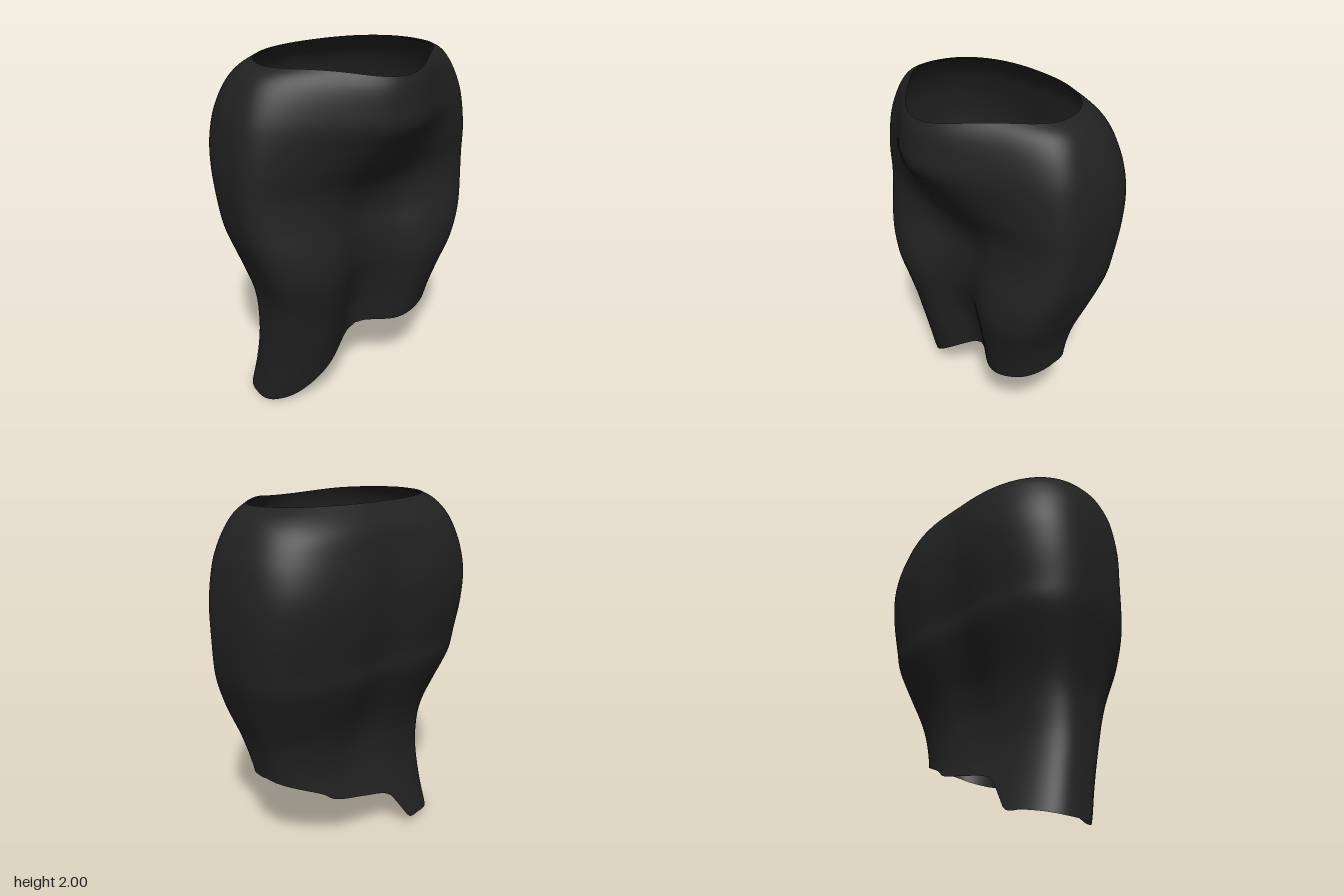
import * as THREE from 'three';

// Smooth lookup through [key, value] pairs sorted by key
function curve(pts) {
  const n = pts.length;
  const slope = (i) => {
    const a = pts[Math.max(i - 1, 0)], b = pts[Math.min(i + 1, n - 1)];
    return (b[1] - a[1]) / (b[0] - a[0]);
  };
  return (k) => {
    if (k <= pts[0][0]) return pts[0][1];
    if (k >= pts[n - 1][0]) return pts[n - 1][1];
    let i = 0;
    while (k > pts[i + 1][0]) i++;
    const h = pts[i + 1][0] - pts[i][0], t = (k - pts[i][0]) / h, t2 = t * t, t3 = t2 * t;
    return (2 * t3 - 3 * t2 + 1) * pts[i][1] + (t3 - 2 * t2 + t) * h * slope(i)
      + (3 * t2 - 2 * t3) * pts[i + 1][1] + (t3 - t2) * h * slope(i + 1);
  };
}

// Half widths by height, on the left (+x) and right (-x)
const upper = [[0.9, 0.65], [1.1, 0.715], [1.3, 0.742], [1.5, 0.747], [1.7, 0.725], [1.8, 0.695], [1.9, 0.645], [1.96, 0.59], [2, 0.51]];
const leftWidth = curve([[0.3, 0.51], [0.5, 0.53], [0.7, 0.575], ...upper]);
const rightWidth = curve([[0, 0.595], [0.2, 0.578], [0.5, 0.573], [0.7, 0.588], ...upper]);

// Depths by height: thighs in front, seat behind, and the middle line of the sides
const frontDepth = curve([[0, 0.11], [0.06, 0.14], [0.4, 0.23], [0.55, 0.26], [0.7, 0.295], [0.85, 0.325], [1, 0.32],
  [1.2, 0.275], [1.35, 0.262], [1.5, 0.28], [1.7, 0.285], [1.9, 0.27], [2, 0.25]]);
const backDepth = curve([[0, 0.37], [0.25, 0.3], [0.45, 0.262], [0.6, 0.265], [0.7, 0.282], [0.8, 0.312], [0.9, 0.355],
  [1, 0.4], [1.1, 0.438], [1.2, 0.45], [1.4, 0.487], [1.6, 0.502], [1.8, 0.472], [1.9, 0.437], [2, 0.35]]);
const midDepth = curve([[0, -0.1], [0.5, 0], [2, 0]]);

// Belly bulge above, groove between the legs below
const bulge = curve([[0, -0.1], [0.4, -0.16], [0.85, -0.15], [1.1, -0.12], [1.2, -0.09], [1.3, -0.04], [1.4, 0.025],
  [1.5, 0.085], [1.6, 0.15], [1.7, 0.21], [1.8, 0.215], [1.9, 0.21], [2, 0.185]]);
const bulgeWidth = curve([[0, 0.18], [0.7, 0.2], [1.2, 0.26], [1.5, 0.35], [2, 0.36]]);
const seatGroove = curve([[0.3, 0], [0.45, 0.01], [0.7, 0.035], [1.6, 0.03], [1.9, 0.01], [2, 0]]);

// Squareness of the cross-section
const frontPower = curve([[0, 2.6], [0.4, 2.7], [0.85, 3.8], [1.2, 3.7], [1.5, 3.2], [1.8, 2.6], [2, 2]]);
const backPower = curve([[0, 2.8], [1.5, 3.2], [1.8, 2.8], [2, 2.3]]);

// Slanted hem height by x
const frontHem = curve([[-0.59, 0], [-0.53, 0.005], [-0.43, 0.05], [-0.25, 0.2], [-0.13, 0.29], [0, 0.365], [0.25, 0.385], [0.45, 0.45], [0.54, 0.505]]);
const backHem = curve([[-0.59, 0], [-0.5, 0.025], [-0.4, 0.045], [-0.31, 0.06], [-0.25, 0.15], [-0.17, 0.25], [0, 0.3], [0.22, 0.35], [0.29, 0.4], [0.42, 0.46], [0.54, 0.505]]);

const bell = (x, w) => Math.exp(-((x / w) ** 2));

function skirtPoint(angle, v) {
  const c = Math.cos(angle), s = Math.sin(angle), front = s >= 0;
  const power = front ? frontPower : backPower;
  const across = (y) => Math.sign(c) * Math.abs(c) ** (2 / power(y)) * (c > 0 ? leftWidth(y) : rightWidth(y));
  const hem = (front ? frontHem : backHem)(across(0.3));
  const top = front ? 1.99 - 0.038 * bell(c, 0.42) : 1.99 + 0.01 * Math.abs(s);
  const y = hem + (top - hem) * v;
  const x = across(y), mid = midDepth(y);
  const reach = Math.abs(s) ** (2 / power(y));
  const z = front
    ? mid + (frontDepth(y) - mid + bulge(y) * bell(x + (y < 1 ? 0.03 * (1 - y) : 0), bulgeWidth(y))) * reach
    : mid - (backDepth(y) + mid - seatGroove(y) * bell(x, 0.15)) * reach;
  return [x, y, z];
}

// Open tube skinned over the cross-sections
function skirtGeometry(around = 128, rows = 72) {
  const positions = [], index = [];
  for (let j = 0; j <= rows; j++) {
    const v = 1 - (1 - j / rows) ** 1.3;
    for (let i = 0; i < around; i++) positions.push(...skirtPoint((i / around) * Math.PI * 2, v));
  }
  for (let j = 0; j < rows; j++) {
    for (let i = 0; i < around; i++) {
      const a = j * around + i, b = j * around + (i + 1) % around;
      index.push(a, a + around, b, b, a + around, b + around);
    }
  }
  const geometry = new THREE.BufferGeometry();
  geometry.setAttribute('position', new THREE.Float32BufferAttribute(positions, 3));
  geometry.setIndex(index);
  geometry.computeVertexNormals();
  return geometry;
}

export function createModel() {
  const group = new THREE.Group();
  group.name = 'skirt';
  const cloth = new THREE.MeshStandardMaterial({ color: 0x222222, side: THREE.DoubleSide });
  cloth.name = 'black cloth';
  const skirt = new THREE.Mesh(skirtGeometry(), cloth);
  skirt.name = 'skirtCloth';
  group.add(skirt);
  return group;
}
